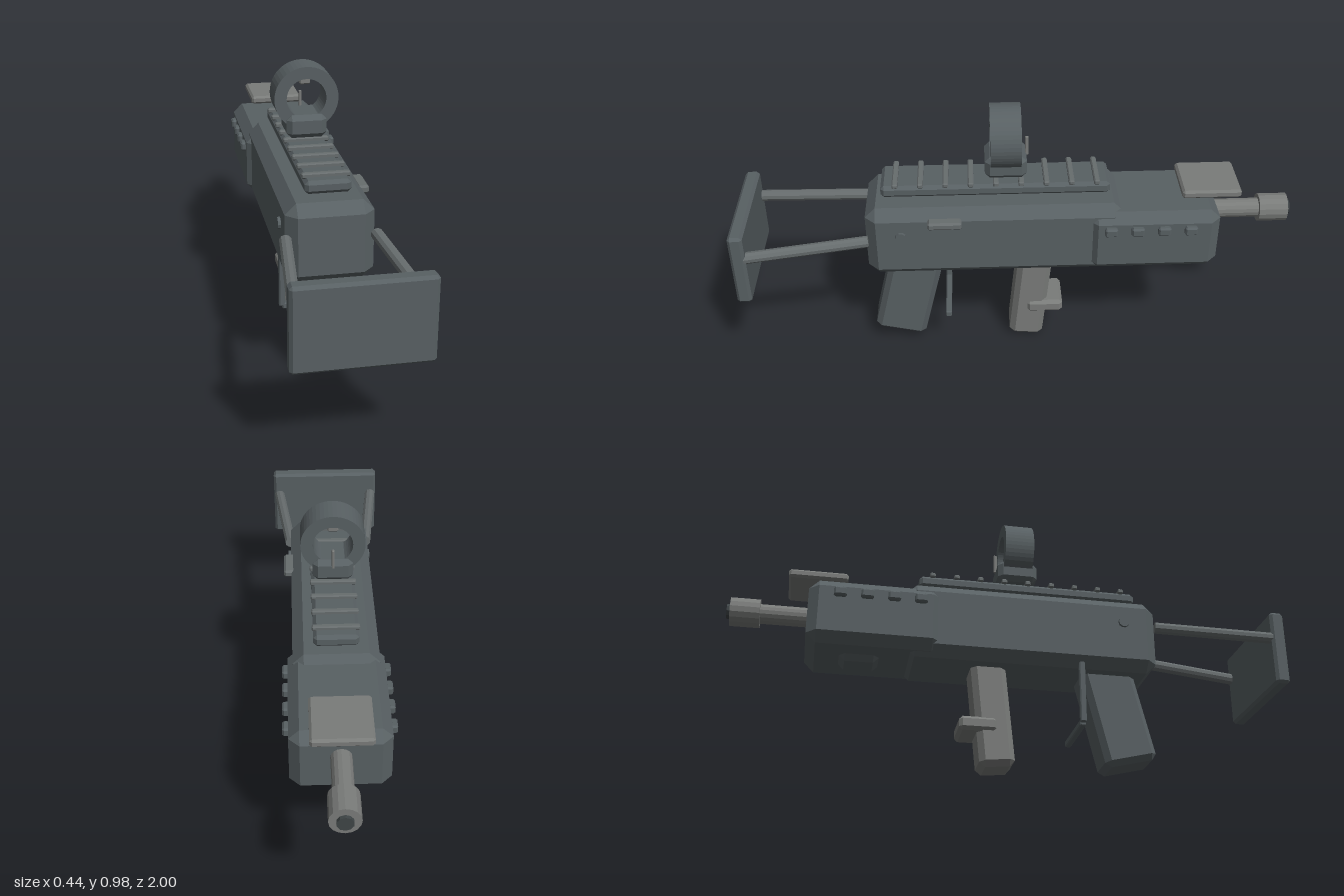
import * as THREE from 'three';
import { ConvexGeometry } from 'three/addons/geometries/ConvexGeometry.js';

export function createModel() {
  const group = new THREE.Group();
  const material = (name, color) => {
    const m = new THREE.MeshStandardMaterial({ color });
    m.name = name;
    return m;
  };
  const dark = material('dark steel', 0x586063);
  const light = material('light grey', 0x7a7c7a);
  const mid = material('mid grey', 0x676d6e);
  const black = material('bore black', 0x3f4547);

  const add = (name, geometry, mat, x = 0, y = 0, z = 0) => {
    const mesh = new THREE.Mesh(geometry, mat);
    mesh.name = name;
    mesh.position.set(x, y, z);
    group.add(mesh);
    return mesh;
  };

  // Box with every edge and corner cut by c
  const cutBox = (w, h, d, c) => {
    const points = [];
    const X = w / 2, Y = h / 2, Z = d / 2;
    for (const i of [-1, 1]) for (const j of [-1, 1]) for (const k of [-1, 1]) {
      points.push(
        new THREE.Vector3(i * X, j * (Y - c), k * (Z - c)),
        new THREE.Vector3(i * (X - c), j * Y, k * (Z - c)),
        new THREE.Vector3(i * (X - c), j * (Y - c), k * Z));
    }
    return new ConvexGeometry(points);
  };

  // Cut box given by its extents on each axis
  const block = (name, mat, [x0, x1], [y0, y1], [z0, z1], c) =>
    add(name, cutBox(x1 - x0, y1 - y0, z1 - z0, c), mat,
      (x0 + x1) / 2, (y0 + y1) / 2, (z0 + z1) / 2);

  const faceted = (geometry) => {
    const flat = geometry.toNonIndexed();
    flat.computeVertexNormals();
    return flat;
  };

  // Faceted rod between two points
  const rod = (name, mat, from, to, radius, sides = 10) => {
    const a = new THREE.Vector3(...from), b = new THREE.Vector3(...to);
    const axis = b.clone().sub(a);
    const mesh = add(name, faceted(new THREE.CylinderGeometry(radius, radius, axis.length(), sides)), mat);
    mesh.position.copy(a).add(b).multiplyScalar(0.5);
    mesh.quaternion.setFromUnitVectors(new THREE.Vector3(0, 1, 0), axis.normalize());
    return mesh;
  };

  // Main housing and wider front section
  block('body', dark, [-0.148, 0.148], [0.37, 0.65], [-0.38, 0.535], 0.038);
  block('frontHousing', dark, [-0.165, 0.165], [0.385, 0.625], [-0.72, -0.25], 0.035);
  block('undersideBump', dark, [-0.065, 0.065], [0.365, 0.425], [-0.605, -0.455], 0.025);
  block('frontPlate', light, [-0.1, 0.1], [0.65, 0.681], [-0.795, -0.585], 0.008);

  // Studs and pins on both sides
  for (const side of [-1, 1]) {
    for (let i = 0; i < 4; i++) {
      block('sideStud', dark, [side * 0.172 - 0.012, side * 0.172 + 0.012],
        [0.55, 0.583], [-0.352 - i * 0.094, -0.307 - i * 0.094], 0.006);
    }
    rod('sidePin', dark, [side * 0.13, 0.55, 0.41], [side * 0.158, 0.55, 0.41], 0.02);
  }
  block('sideHandle', mid, [0.135, 0.175], [0.592, 0.621], [0.195, 0.315], 0.007);

  // Top rail with cross bars
  block('rail', dark, [-0.077, 0.077], [0.667, 0.712], [-0.33, 0.477], 0.012);
  for (let i = 0; i < 9; i++) {
    block('railTooth', mid, [-0.081, 0.081], [0.707, 0.725], [-0.292 + i * 0.0885, -0.272 + i * 0.0885], 0.004);
  }

  // Ring sight
  block('sightBase', dark, [-0.071, 0.071], [0.73, 0.813], [-0.037, 0.11], 0.018);
  const ring = new THREE.Shape().absarc(0, 0, 0.113, 0, Math.PI * 2, false);
  ring.holes.push(new THREE.Path().absarc(0, 0, 0.07, 0, Math.PI * 2, true));
  add('sightRing', new THREE.ExtrudeGeometry(ring, { depth: 0.107, bevelEnabled: false, curveSegments: 24 }),
    dark, 0, 0.87, -0.017);
  block('sightBlade', light, [-0.005, 0.005], [0.79, 0.863], [-0.045, -0.033], 0.002);
  block('sightPeg', light, [-0.019, 0.019], [0.912, 0.95], [0.0, 0.06], 0.005);

  // Barrel and muzzle
  rod('barrel', light, [0, 0.54, -0.7], [0, 0.54, -0.89], 0.035, 16);
  rod('muzzle', light, [0, 0.54, -0.885], [0, 0.54, -0.988], 0.051, 16);
  rod('muzzleTip', black, [0, 0.54, -0.98], [0, 0.54, -1], 0.027, 10);

  // Rear grip and front grip, both tilted
  const rearGrip = add('rearGrip', cutBox(0.146, 0.4, 0.192, 0.02), dark, 0, 0.24, 0.398);
  rearGrip.rotation.x = -0.235;
  const frontGrip = add('frontGrip', cutBox(0.136, 0.4, 0.126, 0.02), light, 0, 0.206, -0.055);
  frontGrip.rotation.x = -0.098;
  block('gripStop', light, [-0.077, 0.077], [0.128, 0.179], [-0.174, -0.04], 0.012);

  // Guard bars below the body
  block('guardBar', dark, [-0.118, 0.116], [0.152, 0.176], [0.244, 0.266], 0.004);
  block('guardPost', dark, [-0.13, -0.108], [0.163, 0.4], [0.244, 0.266], 0.004);

  // Shoulder stock
  block('stockPlate', dark, [-0.219, 0.219], [0.328, 0.609], [0.948, 1], 0.01);
  for (const side of [-1, 1]) {
    rod('stockStrut', mid, [side * 0.15, 0.537, 0.525], [side * 0.196, 0.511, 0.96], 0.021);
  }

  return group;
}
